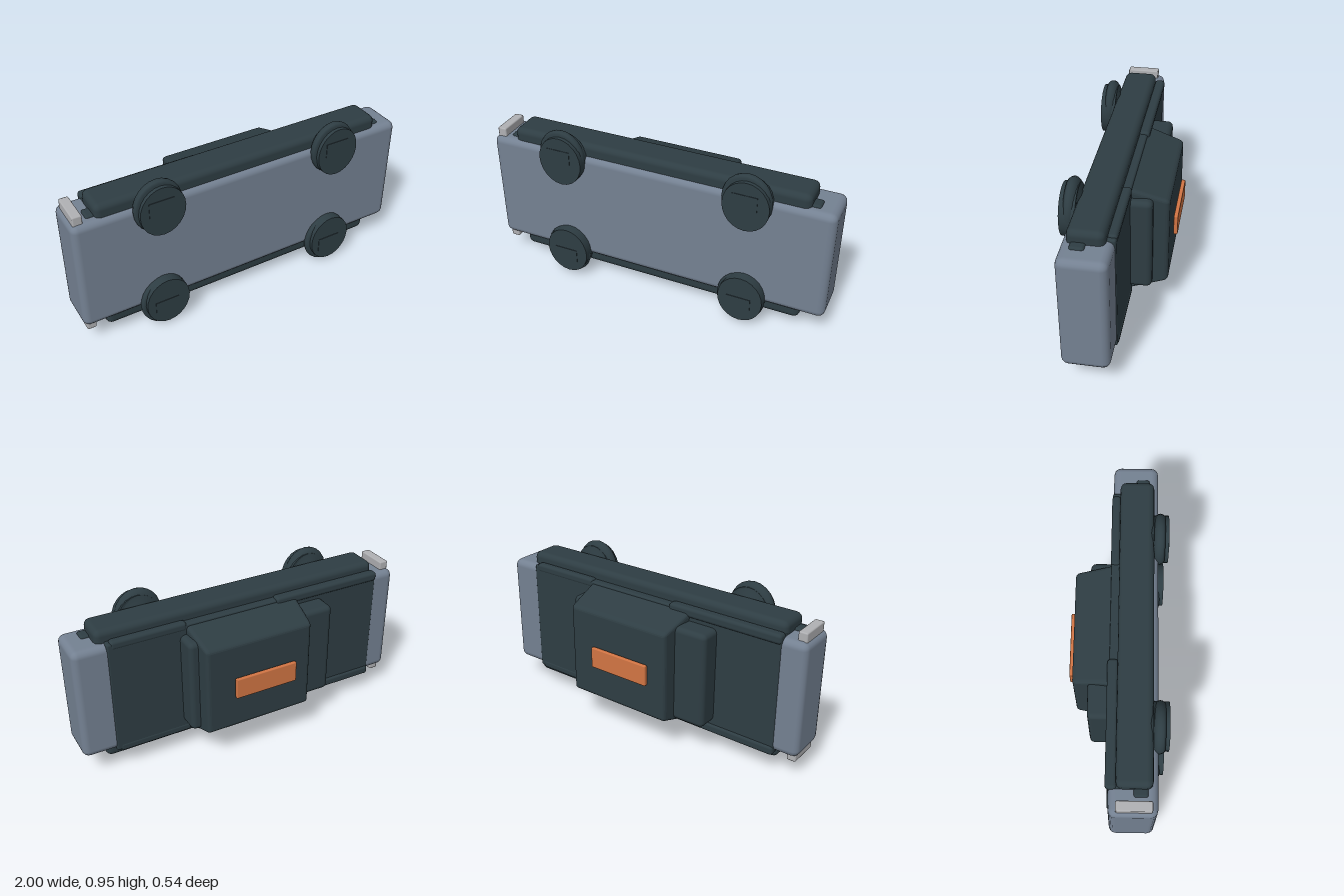
import * as THREE from 'three';
import { RoundedBoxGeometry } from 'three/addons/geometries/RoundedBoxGeometry.js';

export function createModel() {
  const model = new THREE.Group();
  const mat = (name, color) => {
    const m = new THREE.MeshStandardMaterial({ color });
    m.name = name;
    return m;
  };
  const slate = mat('slate grey', 0x748192);
  const dark = mat('dark teal grey', 0x2e3d43);
  const metal = mat('light metal', 0xb0b1b4);
  const orange = mat('orange', 0xd27544);

  const add = (name, geo, material, parent = model) => {
    const mesh = new THREE.Mesh(geo, material);
    mesh.name = name;
    parent.add(mesh);
    return mesh;
  };
  // Rounded block given by its extents on each axis
  const block = (name, material, [x0, x1], [y0, y1], [z0, z1], r, seg = 2) => {
    const geo = new RoundedBoxGeometry(x1 - x0, y1 - y0, z1 - z0, seg, r);
    geo.translate((x0 + x1) / 2, (y0 + y1) / 2, (z0 + z1) / 2);
    return add(name, geo, material);
  };

  // Main slab
  block('body', slate, [-1, 0.995], [0.147, 0.813], [-0.038, 0.215], 0.04);

  // Side rails along the upper and lower edges, with short stubs at the ends
  for (const s of [-1, 1]) {
    const side = (a, b) => [0.48 + s * a, 0.48 + s * b].sort((p, q) => p - q);
    block('sideRail', dark, [-0.865, 0.855], side(0.28, 0.402), [0, 0.19], 0.035);
    block('railStub', dark, [-0.905, 0.9], side(0.28, 0.345), [0.09, 0.166], 0.015);
    block('rearLip', dark, [-0.865, -0.185], side(0.3, 0.355), [-0.054, 0.005], 0.018);
    block('rearLip', dark, [0.36, 0.79], side(0.3, 0.352), [-0.046, 0.005], 0.018);
  }

  // End bar
  block('endBar', metal, [-0.98, -0.927], [0.105, 0.86], [0, 0.187], 0.008, 1);

  // Rear panel and low raised box
  block('rearPanel', dark, [-0.865, 0.81], [0.14, 0.82], [-0.043, 0.05], 0.012);
  block('raisedBox', dark, [-0.49, 0.405], [0.2, 0.76], [-0.157, 0], 0.03);

  // Tapered housing: a rounded block narrowed towards the back
  const housing = new RoundedBoxGeometry(0.69, 0.682, 0.24, 2, 0.022);
  const p = housing.attributes.position;
  for (let i = 0; i < p.count; i++) {
    const t = (0.12 - p.getZ(i)) / 0.24;
    p.setX(i, p.getX(i) * (1 - 0.07 * t));
    p.setY(i, p.getY(i) * (1 - 0.23 * t));
  }
  housing.computeVertexNormals();
  housing.translate(0.025, 0.48, -0.12);
  add('housing', housing, dark);

  // Label plate
  block('backPlate', orange, [-0.19, 0.185], [0.418, 0.54], [-0.27, -0.246], 0.006, 1);

  // Oval wheels: tyre with stepped rim, flat disc, neck and hub
  const tyreProfile = [
    [0, 0.165], [0.065, 0.165], [0.09, 0.185], [0.125, 0.185], [0.142, 0.198],
    [0.152, 0.208], [0.156, 0.222], [0.152, 0.236], [0.142, 0.248], [0, 0.248],
  ].map(([r, z]) => new THREE.Vector2(r, z));
  for (const x of [-0.542, 0.532]) {
    for (const s of [-1, 1]) {
      const wheel = new THREE.Group();
      wheel.name = 'wheel';
      wheel.position.set(x, 0.48 + s * 0.319, 0);
      const tyre = new THREE.LatheGeometry(tyreProfile, 24);
      tyre.rotateX(Math.PI / 2).scale(0.88, 1, 1);
      add('tyre', tyre, dark, wheel);
      const disc = new THREE.CylinderGeometry(0.145, 0.145, 0.083, 24);
      disc.rotateX(Math.PI / 2).scale(0.88, 1, 1).translate(0.008, -s * 0.014, 0.2275);
      add('disc', disc, dark, wheel);
      const hub = new THREE.BoxGeometry(0.14, 0.085, 0.01);
      hub.translate(0, s * 0.015, 0.267);
      add('hub', hub, dark, wheel);
      model.add(wheel);
    }
  }
  return model;
}
